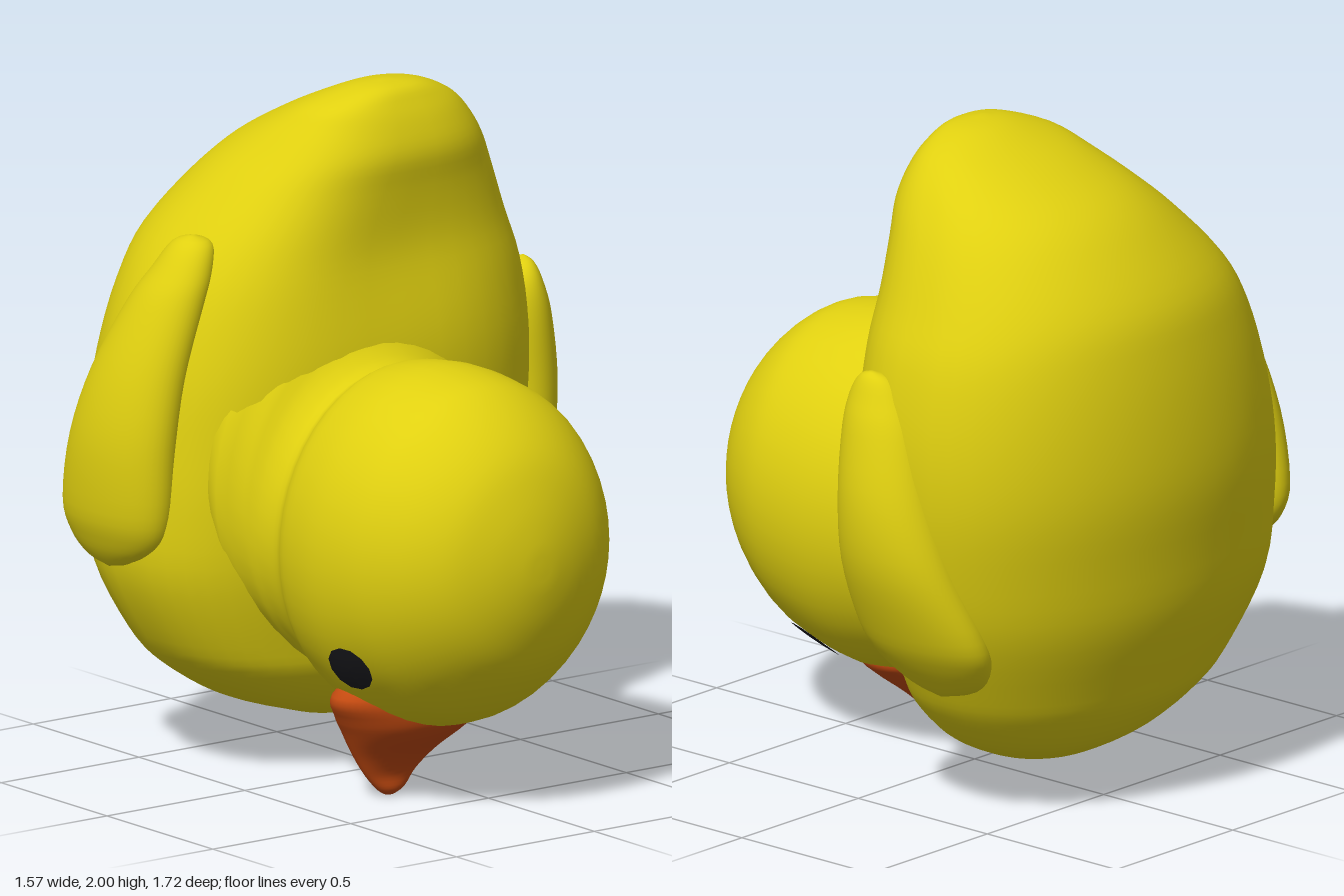
import * as THREE from 'three';
import { mergeVertices } from 'three/addons/utils/BufferGeometryUtils.js';

const yellow = new THREE.MeshStandardMaterial({ color: 0xe0d010 });
yellow.name = 'duckling yellow';
const orange = new THREE.MeshStandardMaterial({ color: 0xc44a10 });
orange.name = 'beak orange';
const black = new THREE.MeshStandardMaterial({ color: 0x1a1a1e });
black.name = 'eye black';

// Smooth section sampler; rows are [position, uMin, uMax, vMin, vMax]
function sampler(rows) {
  const curve = (a, b) => new THREE.CatmullRomCurve3(
    rows.map(r => new THREE.Vector3(r[0], r[a], r[b])), false, 'catmullrom', 0.5);
  const u = curve(1, 2), v = curve(3, 4);
  return (t, angle, n = 2) => {
    const p = u.getPoint(t), q = v.getPoint(t);
    const c = Math.cos(angle), s = Math.sin(angle), e = s > 0 ? 2 / n : 1;
    return [p.x,
      (p.y + p.z) / 2 + (p.z - p.y) / 2 * Math.sign(c) * Math.abs(c) ** e,
      (q.y + q.z) / 2 + (q.z - q.y) / 2 * Math.sign(s) * Math.abs(s) ** e];
  };
}

// Closed loft along y (rows top down) or along z (rows back to front)
function loft(rows, axis, n = 2, warp = null) {
  const at = sampler(rows), rings = (rows.length - 1) * 4, sides = 48;
  const pos = [], index = [];
  for (let i = 0; i <= rings; i++) {
    for (let j = 0; j < sides; j++) {
      const [p, u, v] = at(i / rings, j / sides * Math.PI * 2, n);
      const pt = axis === 'y' ? new THREE.Vector3(u, p, v) : new THREE.Vector3(u, v, p);
      if (warp) warp(pt);
      pos.push(pt.x, pt.y, pt.z);
      if (i < rings) {
        const k = (j + 1) % sides, a = i * sides + j, b = i * sides + k;
        index.push(a, b, b + sides, a, b + sides, a + sides);
      }
    }
  }
  const g = new THREE.BufferGeometry();
  g.setAttribute('position', new THREE.Float32BufferAttribute(pos, 3));
  g.setIndex(index);
  const welded = mergeVertices(g, 1e-4);
  welded.computeVertexNormals();
  return welded;
}

const bodyRows = [
  [2.0, 0.1, 0.1, -0.12, -0.12],
  [1.985, 0.0, 0.22, -0.21, -0.05],
  [1.94, -0.12, 0.33, -0.32, -0.015],
  [1.88, -0.19, 0.405, -0.45, 0.015],
  [1.8, -0.27, 0.47, -0.59, 0.04],
  [1.7, -0.37, 0.53, -0.69, 0.04],
  [1.55, -0.5, 0.6, -0.79, 0.05],
  [1.4, -0.585, 0.66, -0.83, 0.065],
  [1.2, -0.65, 0.695, -0.855, 0.08],
  [1.0, -0.685, 0.695, -0.86, 0.08],
  [0.8, -0.7, 0.665, -0.835, 0.075],
  [0.6, -0.685, 0.61, -0.8, 0.06],
  [0.4, -0.59, 0.515, -0.72, 0.03],
  [0.3, -0.5, 0.455, -0.67, 0.01],
  [0.2, -0.34, 0.36, -0.58, -0.06],
  [0.14, -0.16, 0.25, -0.48, -0.14],
  [0.11, -0.05, 0.14, -0.39, -0.23],
  [0.1, 0.04, 0.04, -0.31, -0.31],
];

const headRows = [
  [-0.25, -0.08, -0.08, 0.8, 0.8],
  [-0.1, -0.55, 0.5, 0.4, 1.4],
  [0.0, -0.53, 0.46, 0.3, 1.38],
  [0.06, -0.495, 0.39, 0.28, 1.28],
  [0.13, -0.485, 0.36, 0.25, 1.22],
  [0.2, -0.515, 0.37, 0.22, 1.25],
  [0.35, -0.54, 0.385, 0.2, 1.272],
  [0.5, -0.53, 0.375, 0.235, 1.262],
  [0.6, -0.5, 0.345, 0.28, 1.235],
  [0.7, -0.44, 0.285, 0.36, 1.165],
  [0.78, -0.355, 0.2, 0.455, 1.07],
  [0.83, -0.25, 0.09, 0.57, 0.95],
  [0.855, -0.15, -0.01, 0.68, 0.84],
  [0.86, -0.08, -0.08, 0.76, 0.76],
];

const beakRows = [
  [0.4, -0.3, -0.05, 0.25, 0.4],
  [0.32, -0.41, 0.06, 0.19, 0.45],
  [0.25, -0.385, 0.105, 0.155, 0.46],
  [0.2, -0.355, 0.06, 0.16, 0.435],
  [0.13, -0.315, -0.03, 0.195, 0.365],
  [0.07, -0.28, -0.1, 0.235, 0.325],
  [0.025, -0.245, -0.145, 0.255, 0.32],
  [0.005, -0.22, -0.18, 0.275, 0.305],
  [0.0, -0.2, -0.2, 0.29, 0.29],
];

const leftWingRows = [
  [1.375, 0.665, 0.665, -0.2, -0.2],
  [1.355, 0.61, 0.69, -0.26, -0.15],
  [1.3, 0.57, 0.715, -0.31, -0.115],
  [1.2, 0.55, 0.75, -0.365, -0.1],
  [1.0, 0.54, 0.785, -0.43, -0.1],
  [0.8, 0.52, 0.77, -0.49, -0.095],
  [0.6, 0.46, 0.695, -0.545, -0.095],
  [0.5, 0.43, 0.635, -0.53, -0.125],
  [0.42, 0.44, 0.565, -0.46, -0.21],
  [0.385, 0.52, 0.52, -0.34, -0.34],
];

const rightWingRows = [
  [1.6, -0.5, -0.5, -0.25, -0.25],
  [1.575, -0.55, -0.44, -0.32, -0.19],
  [1.5, -0.605, -0.44, -0.365, -0.16],
  [1.4, -0.665, -0.46, -0.42, -0.15],
  [1.2, -0.745, -0.51, -0.5, -0.15],
  [1.0, -0.785, -0.54, -0.56, -0.15],
  [0.8, -0.78, -0.55, -0.6, -0.16],
  [0.7, -0.75, -0.57, -0.58, -0.2],
  [0.64, -0.715, -0.62, -0.51, -0.29],
  [0.615, -0.685, -0.685, -0.4, -0.4],
];

// Thin round patch that follows the surface of the head
function eyeGeometry(angle, z) {
  const at = sampler(headRows), centre = new THREE.Vector3(-0.08, 0.74, 0.35);
  const g = new THREE.RingGeometry(0.0001, 1, 12, 4);
  const pos = g.attributes.position, pt = new THREE.Vector3();
  for (let i = 0; i < pos.count; i++) {
    const target = z + pos.getY(i) * 0.08, a = angle + pos.getX(i) * 0.155;
    let lo = 0.2, hi = 1;
    for (let k = 0; k < 30; k++) {
      const mid = (lo + hi) / 2;
      if (at(mid, 0)[0] < target) lo = mid; else hi = mid;
    }
    const [p, u, v] = at(lo, a);
    pt.set(u, v, p).sub(centre).multiplyScalar(1.013).add(centre);
    pos.setXYZ(i, pt.x, pt.y, pt.z);
  }
  g.computeVertexNormals();
  return g;
}

export function createModel() {
  const group = new THREE.Group();
  group.name = 'toyDuck';
  const add = (name, geometry, material) => {
    const mesh = new THREE.Mesh(geometry, material);
    mesh.name = name;
    group.add(mesh);
  };

  // Body with a shallow dish in the back between neck and tail
  const dish = p => {
    if (p.z > -0.3) {
      p.z -= 0.035 * Math.min(1, (p.z + 0.3) / 0.3) *
        Math.exp(-(((p.x - 0.06) / 0.28) ** 2) - ((p.y - 1.52) / 0.2) ** 2);
    }
  };
  add('body', loft(bodyRows, 'y', 2.5, dish), yellow);

  // Head with flared neck
  add('head', loft(headRows, 'z'), yellow);

  // Wings
  add('leftWing', loft(leftWingRows, 'y'), yellow);
  add('rightWing', loft(rightWingRows, 'y'), yellow);

  // Face
  add('beak', loft(beakRows, 'y'), orange);
  add('leftEye', eyeGeometry(-0.99, 0.46), black);
  add('rightEye', eyeGeometry(-2.53, 0.44), black);
  return group;
}
